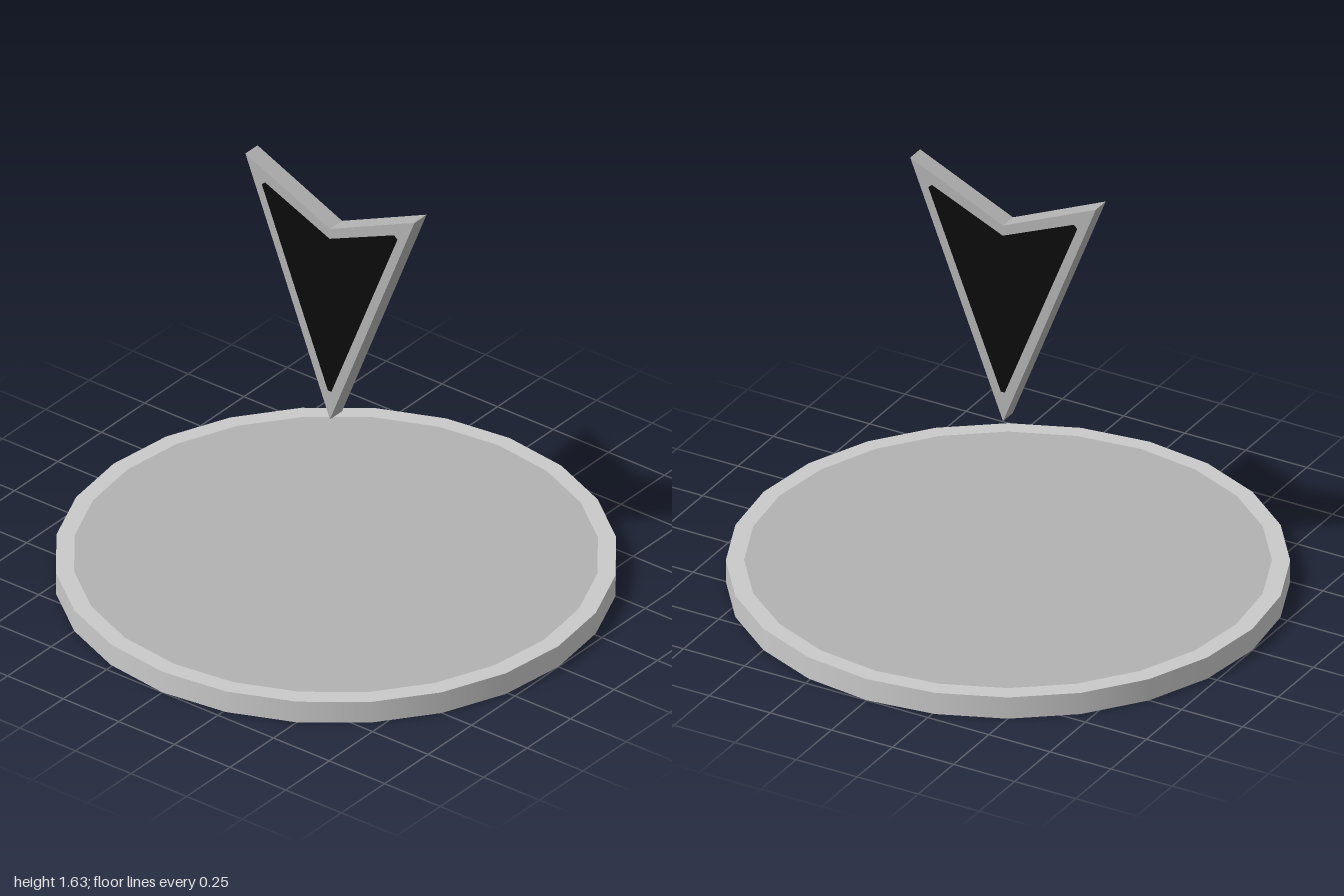
import * as THREE from 'three';

const mat = (name, color) => {
  const m = new THREE.MeshStandardMaterial({ color });
  m.name = name;
  return m;
};

// Mirror the right half of an outline (tip first, notch last) about x = 0
function mirroredShape(half) {
  const left = half.filter(([x]) => x > 0).reverse().map(([x, y]) => [-x, y]);
  return new THREE.Shape([...half, ...left].map(([x, y]) => new THREE.Vector2(x, y)));
}

export function createModel() {
  const lightGrey = mat('light grey', 0xcacaca);
  const midGrey = mat('mid grey', 0xb2b2b2);
  const black = mat('black', 0x0b0b0b);

  const model = new THREE.Group();
  model.name = 'floatingMarker';
  const add = (name, geometry, material) => {
    const mesh = new THREE.Mesh(geometry, material);
    mesh.name = name;
    model.add(mesh);
    return mesh;
  };

  // Round base with an inset top disc, leaving a pale rim
  const height = 0.086;
  add('base', new THREE.CylinderGeometry(1, 1, height, 24), lightGrey).position.y = height / 2;
  const top = add('baseTop', new THREE.CircleGeometry(0.935, 24), midGrey);
  top.rotation.x = -Math.PI / 2;
  top.position.y = height + 0.002;

  // Floating arrowhead pointing down at the base
  const depth = 0.07;
  const arrow = mirroredShape([[0, 0.667], [0.38, 1.63], [0, 1.46]]);
  const body = new THREE.ExtrudeGeometry(arrow, { depth, bevelEnabled: false });
  add('arrow', body.translate(0, 0, -depth / 2), midGrey);

  // Black face panels with slightly blunted corners, front and back
  const panel = mirroredShape([[0.008, 0.786], [0.305, 1.532], [0.29, 1.545], [0, 1.42]]);
  for (const [name, turn] of [['frontPanel', 0], ['backPanel', Math.PI]]) {
    const geometry = new THREE.ShapeGeometry(panel).translate(0, 0, depth / 2 + 0.002);
    add(name, geometry.rotateY(turn), black);
  }
  return model;
}
